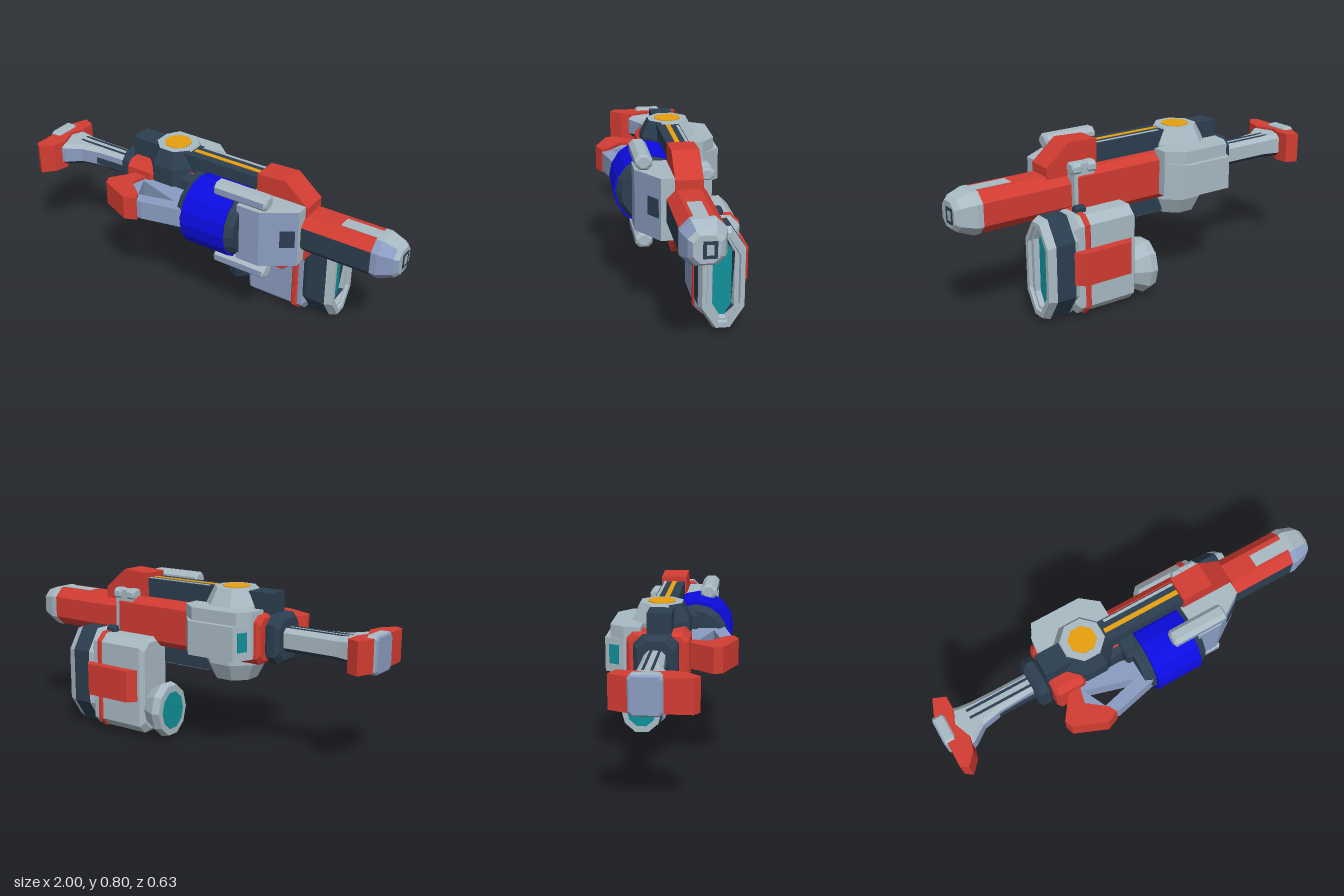
import * as THREE from 'three';

const mat = (name, color) => {
  const m = new THREE.MeshStandardMaterial({ color });
  m.name = name;
  return m;
};
const red = mat('red', 0xd23c32), light = mat('pale grey', 0xa9bac4), steel = mat('steel blue', 0x8a9cc0);
const navy = mat('navy', 0x2c3e50), blue = mat('drum blue', 0x0c0ce0), gold = mat('gold', 0xe8a010);
const teal = mat('teal', 0x109098);
const MID = 0.5625; // height of the barrel axis

export function createModel() {
  const model = new THREE.Group();

  // Flat-shaded mesh; colour is a material or a rule (normal, centre) => material
  function add(name, geo, colour) {
    const g = geo.index ? geo.toNonIndexed() : geo;
    g.clearGroups();
    g.computeVertexNormals();
    let mats = colour;
    if (typeof colour === 'function') {
      mats = [];
      const p = g.attributes.position, n = g.attributes.normal;
      for (let i = 0; i < p.count; i += 3) {
        const c = new THREE.Vector3();
        for (let k = 0; k < 3; k++) c.add(new THREE.Vector3().fromBufferAttribute(p, i + k));
        const m = colour(new THREE.Vector3().fromBufferAttribute(n, i), c.divideScalar(3));
        if (!mats.includes(m)) mats.push(m);
        g.addGroup(i, 3, mats.indexOf(m));
      }
    }
    const mesh = new THREE.Mesh(g, mats);
    mesh.name = name;
    model.add(mesh);
    return mesh;
  }

  // Octagonal sections [x, y0, y1, z0, z1, chamferZ, chamferY] joined along x
  function loft(name, sections, colour) {
    const rings = sections.map(([x, y0, y1, z0, z1, c, d = c]) => [
      [y1, z1 - c], [y1 - d, z1], [y0 + d, z1], [y0, z1 - c],
      [y0, z0 + c], [y0 + d, z0], [y1 - d, z0], [y1, z0 + c],
    ].map(([y, z]) => [x, y, z]));
    const pos = [];
    const tri = (...v) => v.forEach((p) => pos.push(...p));
    const first = rings[0], last = rings[rings.length - 1];
    for (let j = 0; j < 8; j++) {
      const k = (j + 1) % 8;
      for (let i = 0; i + 1 < rings.length; i++) {
        const a = rings[i], b = rings[i + 1];
        tri(a[j], a[k], b[j]);
        tri(a[k], b[k], b[j]);
      }
      if (j > 0 && j < 7) {
        tri(last[0], last[j], last[k]);
        tri(first[0], first[k], first[j]);
      }
    }
    const g = new THREE.BufferGeometry();
    g.setAttribute('position', new THREE.Float32BufferAttribute(pos, 3));
    return add(name, g, colour);
  }
  // Chamfered block and plain box by their limits
  const block = (name, m, x0, x1, y0, y1, z0, z1, c = 0.015) => loft(name, [
    [x0, y0 + c / 2, y1 - c / 2, z0 + c / 2, z1 - c / 2, c], [x0 + c / 2, y0, y1, z0, z1, c],
    [x1 - c / 2, y0, y1, z0, z1, c], [x1, y0 + c / 2, y1 - c / 2, z0 + c / 2, z1 - c / 2, c]], m);
  const box = (name, m, x0, x1, y0, y1, z0, z1) => add(name, new THREE.BoxGeometry(x1 - x0, y1 - y0, z1 - z0)
    .translate((x0 + x1) / 2, (y0 + y1) / 2, (z0 + z1) / 2), m);

  // Outline in x,z raised from y0 to y1, with optional hole
  const shapeOf = (pts, s) => pts.map(([a, b]) => new THREE.Vector2(a, s * b));
  function plan(name, m, pts, y0, y1, hole) {
    const s = new THREE.Shape(shapeOf(pts, -1));
    if (hole) s.holes.push(new THREE.Path(shapeOf(hole, -1)));
    return add(name, new THREE.ExtrudeGeometry(s, { depth: y1 - y0, bevelEnabled: false })
      .rotateX(-Math.PI / 2).translate(0, y0, 0), m);
  }
  // Outline in x,y running from z0 to z1
  const side = (name, m, pts, z0, z1) => add(name, new THREE.ExtrudeGeometry(new THREE.Shape(shapeOf(pts, 1)),
    { depth: z1 - z0, bevelEnabled: false }).translate(0, 0, z0), m);

  const frontOr = (a, b, limit = 0.5) => (n) => (n.z > limit ? a : b);

  // Main body and barrel
  block('body', frontOr(navy, red), -0.45, 0.42, 0.45, 0.68, -0.16, 0.06, 0.03);
  loft('barrel', [[0.4, 0.465, 0.66, -0.13, 0.065, 0.045], [0.89, 0.465, 0.66, -0.13, 0.065, 0.045]],
    (n) => (n.z > 0.5 && n.y < 0.3 ? navy : red));
  loft('muzzle', [[0.88, 0.463, 0.662, -0.132, 0.067, 0.046], [0.91, 0.463, 0.662, -0.132, 0.067, 0.046],
    [0.98, 0.49, 0.64, -0.11, 0.045, 0.035], [1, 0.505, 0.625, -0.09, 0.025, 0.03]], frontOr(steel, light));
  box('muzzleSlot', navy, 0.995, 1.002, 0.525, 0.6, -0.075, -0.015);
  box('muzzleInset', light, 0.995, 1.003, 0.54, 0.585, -0.06, -0.03);
  for (const y of [0.463, 0.657]) box('barrelStreak', light, 0.7, 0.89, y, y + 0.005, -0.06, 0.005);

  // Rails above and below the body
  box('topRail', navy, -0.455, 0.28, 0.67, 0.772, -0.09, 0.02);
  box('bottomRail', navy, -0.12, 0.28, 0.36, 0.46, -0.09, 0.02);
  for (const y of [0.77, 0.357]) {
    box('goldStrip', gold, -0.12, 0.27, y, y + 0.005, -0.045, -0.022);
    box('railTrim', light, -0.1, 0.27, y, y + 0.005, -0.085, -0.072);
  }

  // Eight-sided core with gold lenses
  const drumPart = (name, m, rt, rb, y0, y1) => add(name, new THREE.CylinderGeometry(rt, rb, y1 - y0, 8)
    .rotateY(Math.PI / 8).translate(-0.23, (y0 + y1) / 2, -0.045), m);
  const coreColour = frontOr(navy, light, 0.3);
  drumPart('coreMiddle', coreColour, 0.145, 0.145, 0.425, 0.7);
  drumPart('coreTop', coreColour, 0.105, 0.145, 0.7, 0.78);
  drumPart('coreBottom', coreColour, 0.145, 0.105, 0.345, 0.425);
  drumPart('topLens', gold, 0.068, 0.068, 0.775, 0.784);
  drumPart('bottomLens', gold, 0.068, 0.068, 0.341, 0.35);

  // Rear collar, stock and butt
  block('rearCollar', red, -0.45, -0.29, 0.45, 0.68, -0.185, 0.1, 0.03);
  block('rearCap', navy, -0.525, -0.445, 0.45, 0.68, -0.145, 0.055, 0.04);
  loft('stock', [[-0.93, 0.505, 0.625, -0.12, 0.1, 0.02], [-0.87, 0.505, 0.625, -0.105, 0.08, 0.02],
    [-0.8, 0.51, 0.62, -0.098, 0.03, 0.02], [-0.7, 0.51, 0.62, -0.095, 0.01, 0.02], [-0.5, 0.51, 0.62, -0.095, 0, 0.02]],
  (n) => (n.y < -0.3 ? navy : n.z > 0.5 && n.y < 0.3 ? steel : light));
  box('stockFrontStripe', navy, -0.8, -0.52, 0.535, 0.57, 0.005, 0.013);
  for (const z of [-0.068, -0.03]) box('stockTopStripe', navy, -0.86, -0.52, 0.617, 0.623, z, z + 0.012);
  plan('butt', red, [[-0.985, -0.1], [-0.95, -0.19], [-0.89, -0.165], [-0.89, -0.09], [-0.915, -0.03], [-0.88, 0.06],
    [-0.9, 0.13], [-0.95, 0.185], [-0.985, 0.16]], 0.485, 0.637);
  block('buttPad', (n) => (n.x < -0.5 ? steel : light), -1, -0.94, 0.475, 0.648, -0.105, 0.04);

  // Side handle: red grip and steel struts around an open triangle
  plan('grip', red, [[-0.39, 0.1], [-0.47, 0.21], [-0.455, 0.25], [-0.3, 0.315], [-0.24, 0.29], [-0.26, 0.25],
    [-0.35, 0.18], [-0.33, 0.1]], 0.503, 0.625);
  plan('handleFrame', steel, [[-0.36, 0.08], [-0.36, 0.18], [-0.27, 0.285], [-0.22, 0.285], [0.02, 0.23], [0.02, 0.12],
    [-0.1, 0.08]], 0.515, 0.61, [[-0.325, 0.12], [-0.27, 0.235], [-0.09, 0.19]]);

  // Drum at the front side
  const roll = (name, m, r0, r1, x0, x1) => add(name, new THREE.CylinderGeometry(r1, r0, x1 - x0, 16)
    .rotateZ(-Math.PI / 2).translate((x0 + x1) / 2, MID, 0.1), m);
  roll('drum', blue, 0.172, 0.172, 0, 0.235);
  roll('drumRearCap', navy, 0.13, 0.155, -0.05, 0.005);
  roll('drumFrontCap', navy, 0.165, 0.14, 0.23, 0.275);
  block('drumMount', navy, -0.08, 0.3, 0.43, 0.7, 0, 0.11, 0.02);

  // Clamp around the barrel, with rods and fins mirrored above and below
  plan('clamp', frontOr(steel, light, 0.3), [[0.26, 0], [0.26, 0.19], [0.38, 0.19], [0.53, 0.09], [0.53, 0],
    [0.43, -0.06], [0.43, -0.155], [0.32, -0.155], [0.32, -0.06]], 0.42, 0.71);
  const notch = box('clampNotch', navy, -0.035, 0.035, 0.525, 0.612, -0.003, 0.004);
  notch.position.set(0.49, 0, 0.118);
  notch.rotation.y = Math.atan2(0.1, 0.15);
  for (const s of [1, -1]) {
    const span = (a, b) => [MID + s * a, MID + s * b].sort((p, q) => p - q);
    const [r0, r1] = span(0.15, 0.22);
    block('rod', frontOr(steel, light, 0.9), 0.13, 0.41, r0, r1, 0.11, 0.19, 0.02);
    side('fin', red, [[0.27, 0.08], [0.27, 0.235], [0.42, 0.242], [0.54, 0.14], [0.54, 0.08]]
      .map(([x, y]) => [x, MID + s * y]), -0.098, 0.028);
    const [k0, k1] = span(0.1, 0.155);
    for (const x of [0.31, 0.39]) block('clampLug', light, x, x + 0.05, k0, k1, -0.165, -0.1);
  }

  // Pod on the back side
  const pod = (d) => [[-0.43, -0.12], [-0.42, -0.2], [-0.38, d], [-0.13, d], [-0.05, -0.2], [-0.05, -0.12]];
  plan('podLower', light, pod(-0.29), 0.48, 0.64);
  plan('podUpper', light, pod(-0.265), 0.64, 0.7);
  const podWindow = box('podWindow', teal, -0.025, 0.025, 0.52, 0.61, -0.004, 0.004);
  podWindow.position.set(-0.4, 0, -0.246);
  podWindow.rotation.y = Math.atan2(0.09, 0.04);

  // Hanging unit: casing, red band, shell frame with teal panel
  block('casing', frontOr(steel, light, 0.4), 0.165, 0.5, 0.022, 0.5, -0.275, -0.075, 0.04);
  block('casingBand', red, 0.41, 0.47, 0.015, 0.505, -0.28, -0.068, 0.04);
  block('casingLatch', navy, 0.4, 0.455, 0, 0.53, -0.205, -0.165, 0.01);
  loft('shellFrame', [[0.485, 0.03, 0.495, -0.27, -0.075, 0.06, 0.1], [0.51, 0.02, 0.508, -0.28, -0.065, 0.07, 0.11],
    [0.61, 0.02, 0.508, -0.28, -0.065, 0.07, 0.11], [0.65, 0.035, 0.49, -0.27, -0.078, 0.065, 0.1],
    [0.65, 0.06, 0.47, -0.25, -0.098, 0.055, 0.09], [0.635, 0.065, 0.465, -0.245, -0.103, 0.05, 0.085],
    [0.635, 0.075, 0.455, -0.225, -0.125, 0.035, 0.06], [0.61, 0.082, 0.447, -0.217, -0.131, 0.032, 0.055]],
  (n, c) => {
    const inside = c.z > -0.235 && c.z < -0.115 && c.y > 0.075 && c.y < 0.46;
    if (n.x > 0.9 && c.x < 0.62) return teal;
    return c.x > 0.515 && c.x < 0.6 && !inside || n.z > 0.6 && c.x < 0.62 ? navy : light;
  });
  plan('backPlate', red, [[0.18, -0.25], [0.23, -0.32], [0.48, -0.32], [0.53, -0.265], [0.53, -0.25]], 0.19, 0.348);

  // Flared cup with teal face
  const cup = (name, m, r0, r1, x0, x1) => add(name, new THREE.CylinderGeometry(r1, r0, x1 - x0, 10)
    .rotateZ(-Math.PI / 2).scale(1, 1, 0.82).translate((x0 + x1) / 2, 0.152, -0.183), m);
  cup('cupRim', frontOr(navy, light, 0.1), 0.13, 0.14, 0.05, 0.09);
  cup('cupTaper', frontOr(navy, light, 0.1), 0.14, 0.09, 0.09, 0.175);
  cup('cupFace', teal, 0.095, 0.095, 0.046, 0.055);

  return model;
}
